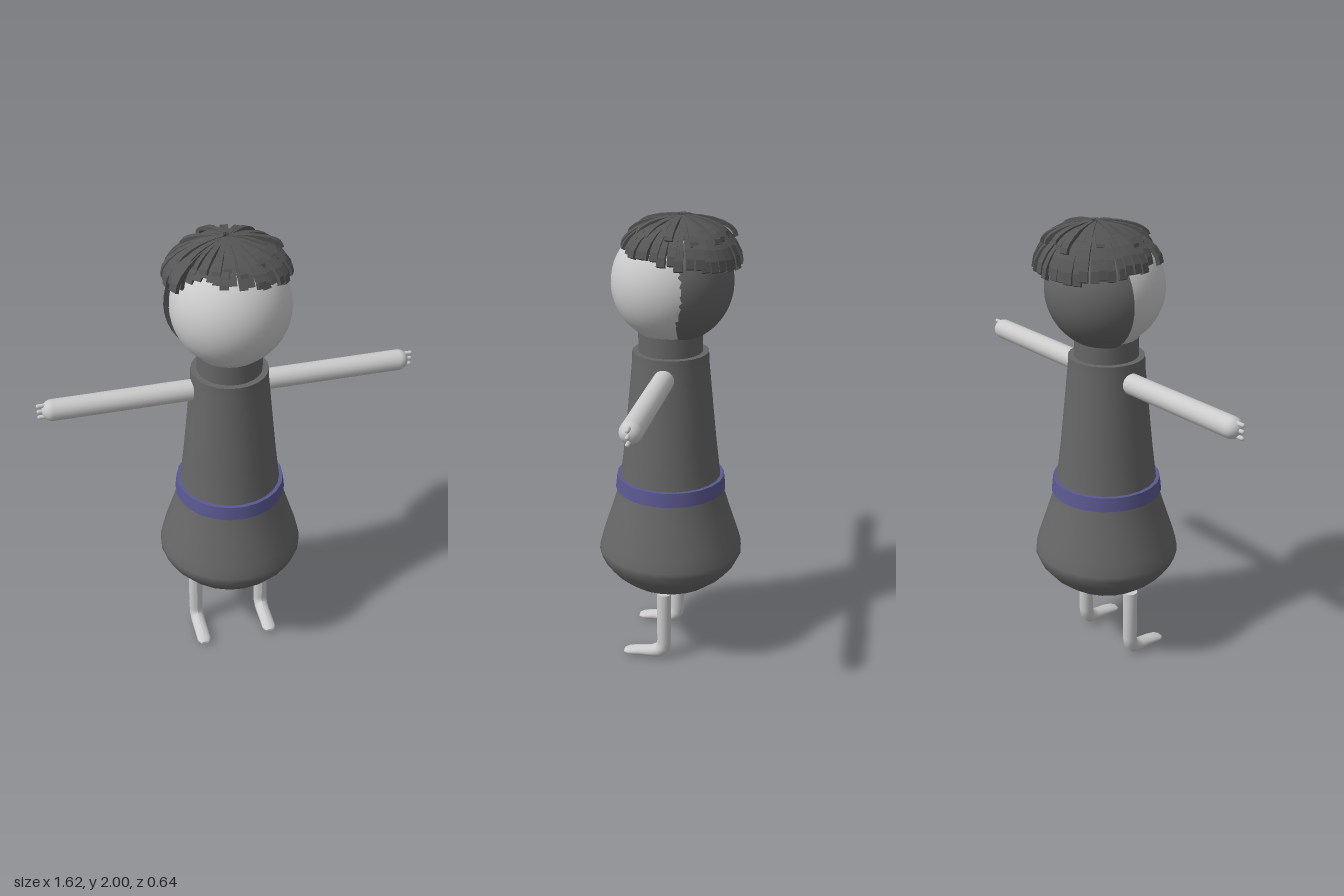
import * as THREE from 'three';
import { mergeGeometries } from 'three/addons/utils/BufferGeometryUtils.js';

const mat = (color, extra = {}) => {
  const m = new THREE.MeshStandardMaterial({ color, ...extra });
  return m;
};
const skin = mat(0xcccccc);
const cloth = mat(0x666666);
const clothOpen = mat(0x666666, { side: THREE.DoubleSide });
const beltMat = mat(0x5a5890, { side: THREE.DoubleSide });
const hairMat = mat(0x555555, { flatShading: true });

const HEAD_Y = 1.72, HEAD_R = 0.247;

function add(parent, name, geometry, material, x = 0, y = 0, z = 0) {
  const mesh = new THREE.Mesh(geometry, material);
  mesh.name = name;
  mesh.position.set(x, y, z);
  parent.add(mesh);
  return mesh;
}

const lathe = (pts, sides) =>
  new THREE.LatheGeometry(pts.map(([r, y]) => new THREE.Vector2(r, y)), sides);

// Leg and foot: a cylinder whose rows follow [y, z, bend, half thickness]
function legGeometry() {
  const rows = [
    [0.335, 0, 0, 0.032], [0.09, 0, 0, 0.032], [0.058, 0.005, 0.5, 0.034],
    [0.038, 0.025, 1.1, 0.034], [0.03, 0.06, 1.45, 0.026],
    [0.027, 0.12, 1.5, 0.021], [0.022, 0.165, 1.57, 0.015], [0.02, 0.185, 1.57, 0.007],
  ];
  const n = rows.length - 1;
  const g = new THREE.CylinderGeometry(1, 1, 1, 16, n);
  const p = g.attributes.position;
  for (let i = 0; i < p.count; i++) {
    const k = Math.round((0.5 - p.getY(i)) * n);
    const [y, z, bend, h] = rows[k];
    const d = p.getZ(i) * h;
    const width = k === n ? 0.02 : 0.032;
    p.setXYZ(i, p.getX(i) * width, Math.max(0, y + d * Math.sin(bend)), z + d * Math.cos(bend));
  }
  g.computeVertexNormals();
  return g;
}

// One lock of hair: a thin box bent from the crown over the head to its tip
function lock(angle, reach, tipY, topY, width) {
  const g = new THREE.BoxGeometry(1, 1, 1, 1, 1, 6);
  const p = g.attributes.position;
  const sx = Math.sin(angle), sz = Math.cos(angle), cx = 0, cz = -0.05;
  for (let i = 0; i < p.count; i++) {
    const t = p.getZ(i) + 0.5;
    const a = (0.06 + 0.94 * t) * Math.PI / 2;
    const r = reach * Math.sin(a);
    const x = cx + sx * r, z = cz + sz * r;
    let y = topY - (topY - tipY) * (1 - Math.cos(a));
    const under = HEAD_R * HEAD_R - x * x - z * z;
    if (under > 0) y = Math.max(y, HEAD_Y + Math.sqrt(under) + 0.004);
    const w = p.getX(i) * width * (0.4 + 0.6 * Math.min(1, t * 1.6));
    const h = p.getY(i) * 0.02;
    const out = h * Math.sin(a) * 0.8;
    p.setXYZ(i, x + sz * w + sx * out, y + h * Math.max(0.4, Math.cos(a)), z - sx * w + sz * out);
  }
  return g;
}

function hairGeometry() {
  let seed = 7;
  const rnd = () => (seed = (seed * 16807) % 2147483647) / 2147483647 - 0.5;
  const locks = [];
  // long outer layer, short at the front-right parting
  const count = 44;
  for (let i = 0; i < count; i++) {
    const a = -Math.PI + (i / count) * 2 * Math.PI;
    const parting = Math.exp(-(((a + 0.75) / 0.35) ** 2));
    const reach = 0.232 + 0.022 * Math.abs(Math.sin(a)) - 0.05 * parting + rnd() * 0.016;
    const tipY = 1.835 + 0.035 * Math.cos(a) + rnd() * 0.02;
    locks.push(lock(a + rnd() * 0.06, reach, tipY, 1.98, 0.034 + rnd() * 0.006));
  }
  // shorter upper layer
  for (let i = 0; i < 26; i++) {
    const a = (i / 26) * 2 * Math.PI + rnd() * 0.15;
    locks.push(lock(a, 0.19 + rnd() * 0.06, 1.92 + rnd() * 0.03, 1.988 + rnd() * 0.008, 0.032));
  }
  // loose lock swept across the forehead
  locks.push(lock(-1.1, 0.275, 1.85, 1.985, 0.04));
  return mergeGeometries(locks);
}

export function createModel() {
  const model = new THREE.Group();
  model.name = 'figure';

  // Dress with a rounded hem and a flat collar edge
  add(model, 'dress', lathe([
    [0, 0.302], [0.07, 0.308], [0.14, 0.327], [0.205, 0.36], [0.26, 0.404], [0.3, 0.452],
    [0.32, 0.495], [0.319, 0.52], [0.305, 0.57], [0.265, 0.69], [0.23, 0.8], [0.218, 0.87],
    [0.2, 1.02], [0.18, 1.22], [0.165, 1.375], [0.163, 1.425],
  ], 24), cloth, -0.005);
  add(model, 'collarTop', lathe([[0.163, 1.425], [0.12, 1.425]], 24), clothOpen, -0.005);
  add(model, 'neck', new THREE.CylinderGeometry(0.137, 0.137, 0.12, 24), cloth, -0.005, 1.45);

  // Belt
  add(model, 'belt', lathe([[0.222, 0.8], [0.243, 0.8], [0.243, 0.8], [0.236, 0.862],
    [0.236, 0.862], [0.215, 0.862]], 24), beltMat, -0.005);

  // Head and the shell covering its back
  add(model, 'head', new THREE.SphereGeometry(HEAD_R, 40, 28), skin, 0, HEAD_Y, 0);
  const shell = new THREE.SphereGeometry(0.256, 40, 16, 0, Math.PI * 2, 0, 1.32);
  shell.rotateX(-Math.PI / 2 - 0.06);
  add(model, 'headBack', shell, clothOpen, -0.012, HEAD_Y, -0.006);
  add(model, 'hair', hairGeometry(), hairMat);

  // Arms with three small fingers, and legs
  for (const side of [1, -1]) {
    const name = side > 0 ? 'left' : 'right';
    const arm = new THREE.Group();
    arm.name = name + 'Arm';
    arm.position.set(0, 1.34, -0.002);
    const sleeve = new THREE.CapsuleGeometry(0.045, 0.65, 8, 20);
    sleeve.rotateZ(Math.PI / 2);
    add(arm, 'armTube', sleeve, skin, side * 0.42);
    for (const dy of [-0.027, 0, 0.027]) {
      const finger = new THREE.CapsuleGeometry(0.009, 0.045, 4, 8);
      finger.rotateZ(Math.PI / 2);
      add(arm, 'finger', finger, skin, side * 0.779, dy);
    }
    model.add(arm);
    add(model, name + 'Leg', legGeometry(), skin, side * 0.16 - 0.013);
  }
  return model;
}
